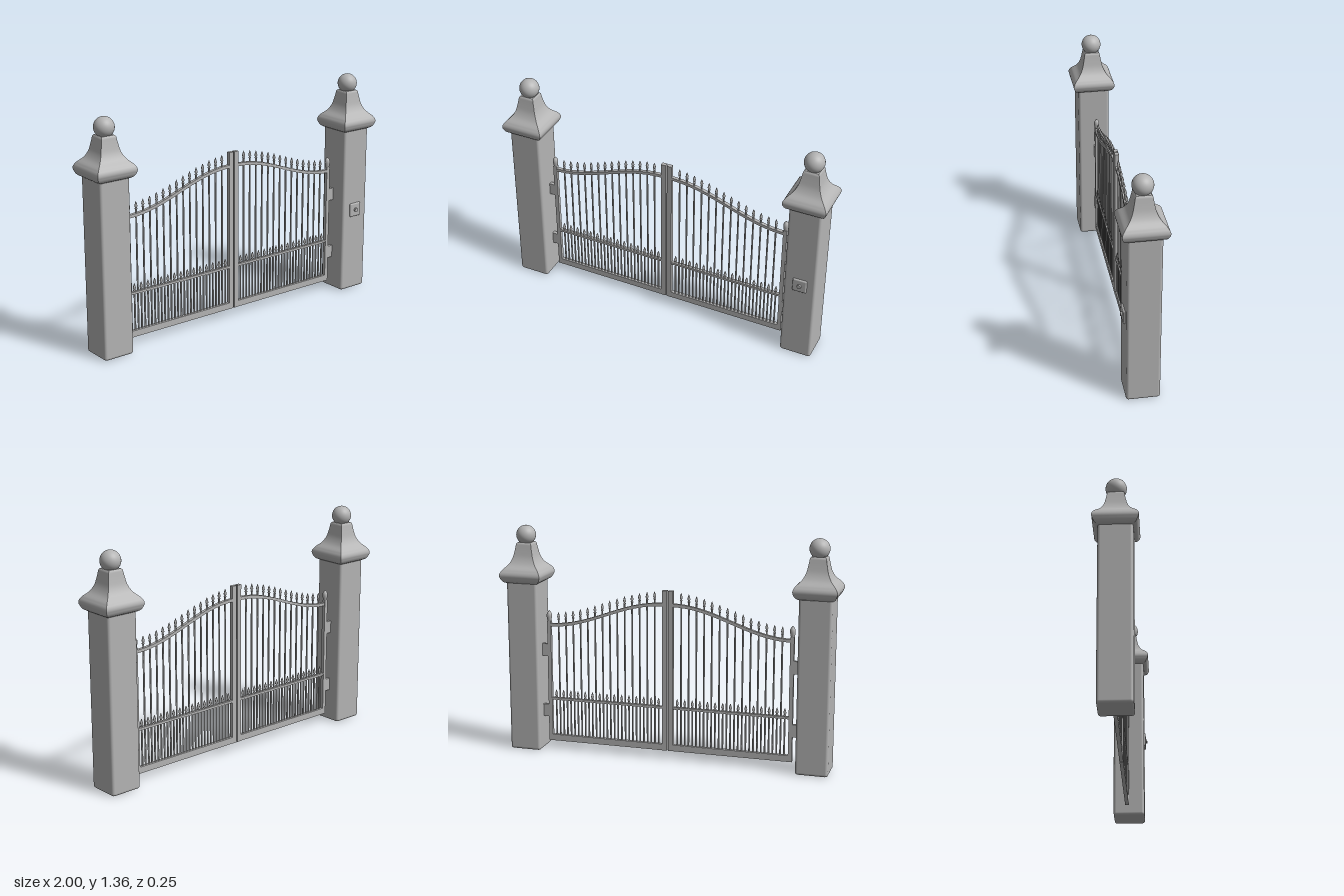
import * as THREE from 'three';
import { toCreasedNormals } from 'three/addons/utils/BufferGeometryUtils.js';
import { RoundedBoxGeometry } from 'three/addons/geometries/RoundedBoxGeometry.js';

const stone = new THREE.MeshStandardMaterial({ color: 0xb4b4b4 });
stone.name = 'plain grey';

const vec = (pairs) => pairs.map(([x, y]) => new THREE.Vector2(x, y));

function add(parent, name, geometry, x = 0, y = 0, z = 0) {
  const mesh = new THREE.Mesh(geometry, stone);
  mesh.name = name;
  mesh.position.set(x, y, z);
  parent.add(mesh);
  return mesh;
}

// Box given by its x and y limits, centred on z
function addBar(parent, name, x0, x1, y0, y1, depth) {
  return add(parent, name, new THREE.BoxGeometry(x1 - x0, y1 - y0, depth), (x0 + x1) / 2, (y0 + y1) / 2);
}

// Square cap: a smooth profile swept around four sides with sharp corners
function capGeometry() {
  const curve = new THREE.SplineCurve(vec([
    [0.095, 1.022], [0.113, 1.035], [0.126, 1.068], [0.114, 1.098],
    [0.083, 1.13], [0.064, 1.165], [0.054, 1.205], [0.046, 1.25],
  ]));
  const profile = [[0, 1.022], ...curve.getPoints(28).map((p) => [p.x, p.y]), [0.04, 1.257], [0, 1.257]];
  const points = vec(profile.map(([r, y]) => [r * Math.SQRT2, y]));
  return toCreasedNormals(new THREE.LatheGeometry(points, 4, Math.PI / 4), 0.7);
}

function createPillar(side) {
  const pillar = new THREE.Group();
  pillar.name = side > 0 ? 'leftPillar' : 'rightPillar';
  pillar.position.x = side * 0.875;
  add(pillar, 'pillarShaft', new RoundedBoxGeometry(0.19, 1.035, 0.19, 3, 0.016), 0, 0.5175);
  add(pillar, 'pillarCap', capGeometry());
  add(pillar, 'pillarBall', new THREE.SphereGeometry(0.058, 32, 20), 0, 1.299);
  return pillar;
}

// Height of the sweeping top rail
const X0 = 0.03, X1 = 0.73;
const railY = (x) => 0.767 + 0.163 * (1 + Math.cos((Math.PI * (x - X0)) / (X1 - X0))) / 2;

function topRailGeometry() {
  const upper = [], lower = [];
  for (let i = 0; i <= 32; i++) {
    const x = X0 + ((X1 - X0) * i) / 32;
    upper.push([x, railY(x) + 0.009]);
    lower.unshift([x, railY(x) - 0.009]);
  }
  const geometry = new THREE.ExtrudeGeometry(new THREE.Shape(vec([...lower, ...upper])), { depth: 0.02, bevelEnabled: false });
  geometry.translate(0, 0, -0.01);
  return toCreasedNormals(geometry, 0.6);
}

const spear = new THREE.LatheGeometry(vec([
  [0.004, 0], [0.008, 0.003], [0.008, 0.007], [0.004, 0.01],
  [0.009, 0.019], [0.007, 0.03], [0.003, 0.043], [0, 0.05],
]), 8);

const postFinial = new THREE.LatheGeometry(vec([
  [0.01, 0], [0.013, 0.012], [0.016, 0.03], [0.016, 0.044], [0.011, 0.056], [0, 0.068],
]), 12);

function addRod(parent, name, x, bottom, top) {
  add(parent, name, new THREE.CylinderGeometry(0.0053, 0.0053, top - bottom, 8), x, (top + bottom) / 2);
  add(parent, name + 'Spear', spear, x, top);
}

// One gate leaf reaching from the middle towards +x
function createLeaf(name) {
  const leaf = new THREE.Group();
  leaf.name = name;
  addBar(leaf, 'meetingStile', 0.004, 0.033, 0.05, 1.014, 0.024);
  addBar(leaf, 'hingeStile', 0.724, 0.747, 0.05, 0.79, 0.022);
  add(leaf, 'stileFinial', postFinial, 0.7355, 0.786);
  addBar(leaf, 'bottomRail', 0.03, 0.73, 0.05, 0.088, 0.022);
  addBar(leaf, 'middleRail', 0.03, 0.73, 0.306, 0.32, 0.02);
  add(leaf, 'topRail', topRailGeometry());
  // Tall rods follow the top rail, short ones stand between them
  for (let i = 0; i < 14; i++) {
    const x = 0.08 + i * 0.0459;
    addRod(leaf, 'tallRod', x, 0.08, railY(x) + 0.028);
  }
  for (let i = 0; i < 15; i++) addRod(leaf, 'shortRod', 0.057 + i * 0.0459, 0.08, 0.32);
  for (const y of [0.2, 0.575]) addBar(leaf, 'hinge', 0.74, 0.79, y, y + 0.075, 0.022);
  return leaf;
}

export function createModel() {
  const model = new THREE.Group();
  model.name = 'pillaredGate';

  const left = createLeaf('leftLeaf');
  const right = createLeaf('rightLeaf');
  right.rotation.y = Math.PI;
  left.position.z = right.position.z = -0.01;
  model.add(createPillar(1), createPillar(-1), left, right);

  // Call button on the front of one pillar
  const bell = new THREE.Group();
  bell.name = 'callButton';
  bell.position.set(0.876, 0.517, 0.095);
  add(bell, 'buttonPlate', new RoundedBoxGeometry(0.085, 0.085, 0.02, 2, 0.008));
  const button = add(bell, 'button', new THREE.CylinderGeometry(0.012, 0.013, 0.012, 20), 0, 0, 0.013);
  button.rotation.x = Math.PI / 2;
  model.add(bell);
  return model;
}
